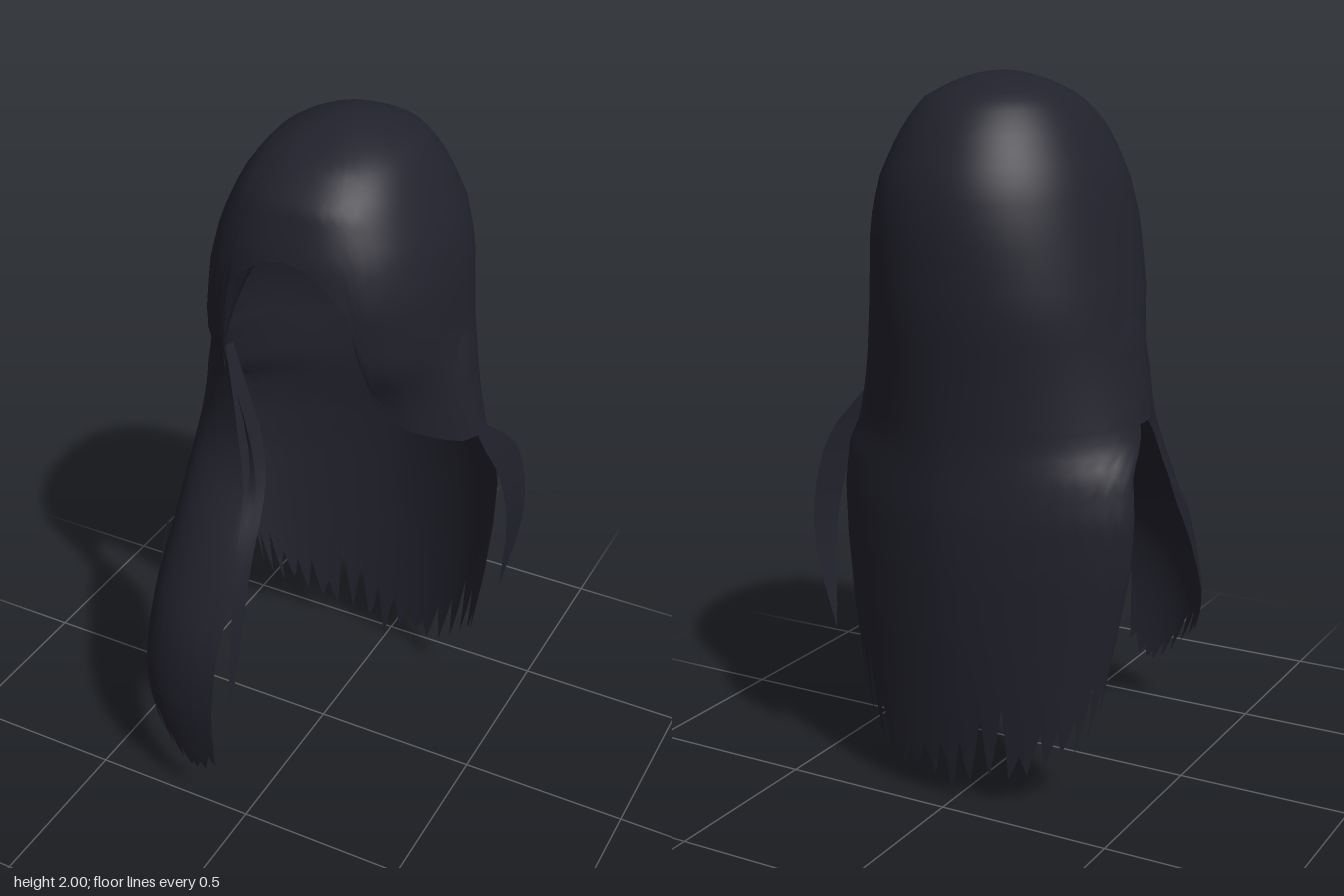
import * as THREE from 'three';
import { mergeVertices } from 'three/addons/utils/BufferGeometryUtils.js';

const rad = THREE.MathUtils.degToRad;
const lerp = THREE.MathUtils.lerp;

// Seeded noise in 0..1
const noise = (n) => { const s = Math.sin(n * 127.1 + 3.7) * 43758.5453; return s - Math.floor(s); };

// Piecewise linear lookup: rows are [key, ...values], keys ascending
function lookup(rows, key) {
  let i = 1;
  while (i < rows.length - 1 && rows[i][0] < key) i++;
  const [a, b] = [rows[i - 1], rows[i]];
  const t = THREE.MathUtils.clamp((key - a[0]) / (b[0] - a[0]), 0, 1);
  return a.slice(1).map((v, k) => lerp(v, b[k + 1], t));
}

// Outer shell by height: left and right half widths, front z, back z, centre z,
// then the roundness of the front left, front right and back quarters
const SHELL = [
  [2.0, 0, 0, -0.15, -0.15, -0.15, 2.2, 2.2, 2.1],
  [1.98, 0.10, 0.10, -0.03, -0.27, -0.15, 2.2, 2.2, 2.1],
  [1.93, 0.195, 0.195, 0.09, -0.38, -0.16, 2.3, 2.3, 2.1],
  [1.85, 0.25, 0.255, 0.18, -0.45, -0.16, 2.4, 2.4, 2.1],
  [1.72, 0.31, 0.315, 0.225, -0.515, -0.16, 2.5, 2.5, 2.1],
  [1.6, 0.335, 0.345, 0.24, -0.535, -0.16, 2.6, 2.6, 2.1],
  [1.4, 0.345, 0.385, 0.225, -0.535, -0.16, 2.4, 2.4, 2.1],
  [1.3, 0.365, 0.4, 0.17, -0.525, -0.16, 1.8, 2.2, 2.0],
  [1.2, 0.385, 0.42, 0.17, -0.515, -0.16, 1.45, 2.2, 1.9],
  [1.04, 0.415, 0.45, 0.17, -0.505, -0.2, 1.3, 2.2, 1.75],
  [0.97, 0.42, 0.465, 0.1, -0.505, -0.28, 2, 2, 1.6],
  [0.85, 0.425, 0.48, 0.1, -0.51, -0.3, 2, 2, 1.6],
  [0.7, 0.42, 0.47, 0.1, -0.505, -0.3, 2, 2, 1.65],
  [0.5, 0.4, 0.43, 0.1, -0.49, -0.3, 2, 2, 1.75],
  [0.25, 0.36, 0.38, 0.1, -0.465, -0.31, 2, 2, 1.9],
  [0.0, 0.31, 0.32, 0.1, -0.44, -0.33, 2, 2, 2],
].map(([y, ...rest]) => [Math.sqrt(2 - y), ...rest]);

// Point on the shell; angle 0 is the front, 90 degrees is +x
function shell(angle, y) {
  const [wl, wr, front, back, zc, nl, nr, nb] = lookup(SHELL, Math.sqrt(Math.max(0, 2 - y)));
  const s = Math.sin(angle), c = Math.cos(angle);
  const n = c < 0 ? nb : s > 0 ? nl : nr;
  const r = 1 / Math.pow(Math.abs(s) ** n + Math.abs(c) ** n, 1 / n);
  return new THREE.Vector3((s > 0 ? wl : wr) * r * s, y, zc + (c > 0 ? front - zc : zc - back) * r * c);
}

// Height of the cap's lower edge by angle from the front, same on both sides
const HAIRLINE = [
  [0, 1.72], [12, 1.705], [24, 1.645], [30, 1.59], [34, 1.41],
  [37, 1.27], [43, 1.21], [54, 1.16], [70, 1.11], [80, 1.085], [180, 1.085],
];
const hairline = (angle) => lookup(HAIRLINE, Math.abs(angle) * 180 / Math.PI)[0];

// Smooth sheet from a rule point(u, v); u runs to the viewer's right, v runs down
function sheet(nu, nv, point) {
  const pos = [], index = [];
  for (let i = 0; i <= nu; i++) {
    for (let j = 0; j <= nv; j++) {
      pos.push(...point(i / nu, j / nv, i).toArray());
      if (i < nu && j < nv) {
        const a = i * (nv + 1) + j, b = a + nv + 1;
        index.push(a, a + 1, b, b, a + 1, b + 1);
      }
    }
  }
  let geo = new THREE.BufferGeometry();
  geo.setAttribute('position', new THREE.Float32BufferAttribute(pos, 3));
  geo.setIndex(index);
  geo = mergeVertices(geo, 1e-5);
  geo.computeVertexNormals();
  return geo;
}

// Ragged edge: four columns to each pointed tip, with uneven tips and notches
function fray(i, depth) {
  const k = i % 4, tooth = Math.floor(i / 4);
  const tip = 0.4 * depth * noise(tooth + 50);
  const notch = depth * (0.4 + 0.9 * noise(tooth + 9) ** 2);
  return k === 0 ? tip : k === 2 ? tip + notch : tip + notch * 0.45;
}

// Front lock, from top to bottom: height, inner x and z, rear x and z
const LOCK = [
  [1.0, -0.10, 0.22, -0.42, -0.03],
  [0.8, -0.065, 0.39, -0.41, 0.12],
  [0.6, -0.07, 0.51, -0.41, 0.26],
  [0.4, -0.08, 0.54, -0.395, 0.37],
  [0.2, -0.09, 0.52, -0.32, 0.44],
  [0.05, -0.11, 0.485, -0.22, 0.46],
];

function lockColumn(u) {
  const angle = -rad(lerp(84, 34, u));
  const points = [shell(angle, hairline(angle) + 0.015)];
  for (const [y, ix, iz, rx, rz] of LOCK) {
    points.push(new THREE.QuadraticBezierCurve3(
      new THREE.Vector3(rx, y, rz),
      new THREE.Vector3(rx * 0.87, y, iz),
      new THREE.Vector3(ix, y, iz),
    ).getPoint(u));
  }
  return new THREE.CatmullRomCurve3(points, false, 'centripetal');
}

// Thin tapering ribbon along a path
function strand(path, width) {
  const curve = new THREE.CatmullRomCurve3(path.map((p) => new THREE.Vector3(...p)));
  const across = new THREE.Vector3(...width);
  return sheet(2, 14, (u, v) => curve.getPoint(v)
    .addScaledVector(across, (u - 0.5) * Math.min(1, 0.3 + 3 * v) * (1 - v ** 3)));
}

export function createModel() {
  const group = new THREE.Group();
  const hair = new THREE.MeshStandardMaterial({ color: 0x22222d, side: THREE.DoubleSide });
  hair.name = 'inkHair';
  const add = (name, geo) => {
    const mesh = new THREE.Mesh(geo, hair);
    mesh.name = name;
    group.add(mesh);
  };

  // Cap over the skull, open at the face
  add('cap', sheet(144, 22, (u, v) => {
    const angle = lerp(-Math.PI, Math.PI, u);
    return shell(angle, 2 - (2 - hairline(angle)) * v * v);
  }));

  // Domed lining inside the cap, easing into the back hair
  add('lining', sheet(72, 16, (u, v) => {
    const angle = lerp(-Math.PI, Math.PI, u);
    const end = shell(angle, Math.max(1.22, hairline(angle) + 0.01));
    const reach = 0.99 * Math.sin(v * Math.PI / 2);
    const height = Math.cos(v * Math.PI / 2) ** 1.15;
    return new THREE.Vector3(end.x * reach, lerp(end.y, 1.76, height), lerp(-0.15, end.z, reach));
  }));

  // Long back hair hanging from the cap to a ragged hem
  add('backHair', sheet(72, 26, (u, v, i) => {
    const angle = lerp(Math.PI / 2, Math.PI * 1.5, u);
    const side = Math.abs(u * 2 - 1);
    const hem = i === 36 ? 0.005 : 0.02 + fray(i, 0.17) + 0.24 * side * side;
    return shell(angle, lerp(1.085, hem, v));
  }));

  // Lock swept forward over one shoulder, longest at its inner side
  add('frontLock', sheet(36, 28, (u, v, i) => {
    const end = 0.97 - 0.22 * (1 - u) ** 1.5 - 0.1 * u ** 8 - fray(i, 0.08);
    return lockColumn(u).getPoint(v * end);
  }));

  // Loose strands beside the hem and the lock
  add('leftStrand', strand([[0.4, 1.12, -0.18], [0.45, 0.95, -0.3], [0.467, 0.72, -0.36], [0.425, 0.42, -0.38]], [0.03, 0, -0.12]));
  add('lockRearStrand', strand([[-0.415, 1.06, -0.06], [-0.425, 0.9, 0.04], [-0.435, 0.75, 0.16], [-0.41, 0.58, 0.28]], [0.02, 0, 0.06]));
  add('lockInnerStrand', strand([[-0.2, 1.4, 0.17], [-0.115, 1.0, 0.2], [-0.07, 0.78, 0.36], [-0.075, 0.28, 0.46]], [0.03, 0, -0.08]));

  return group;
}
